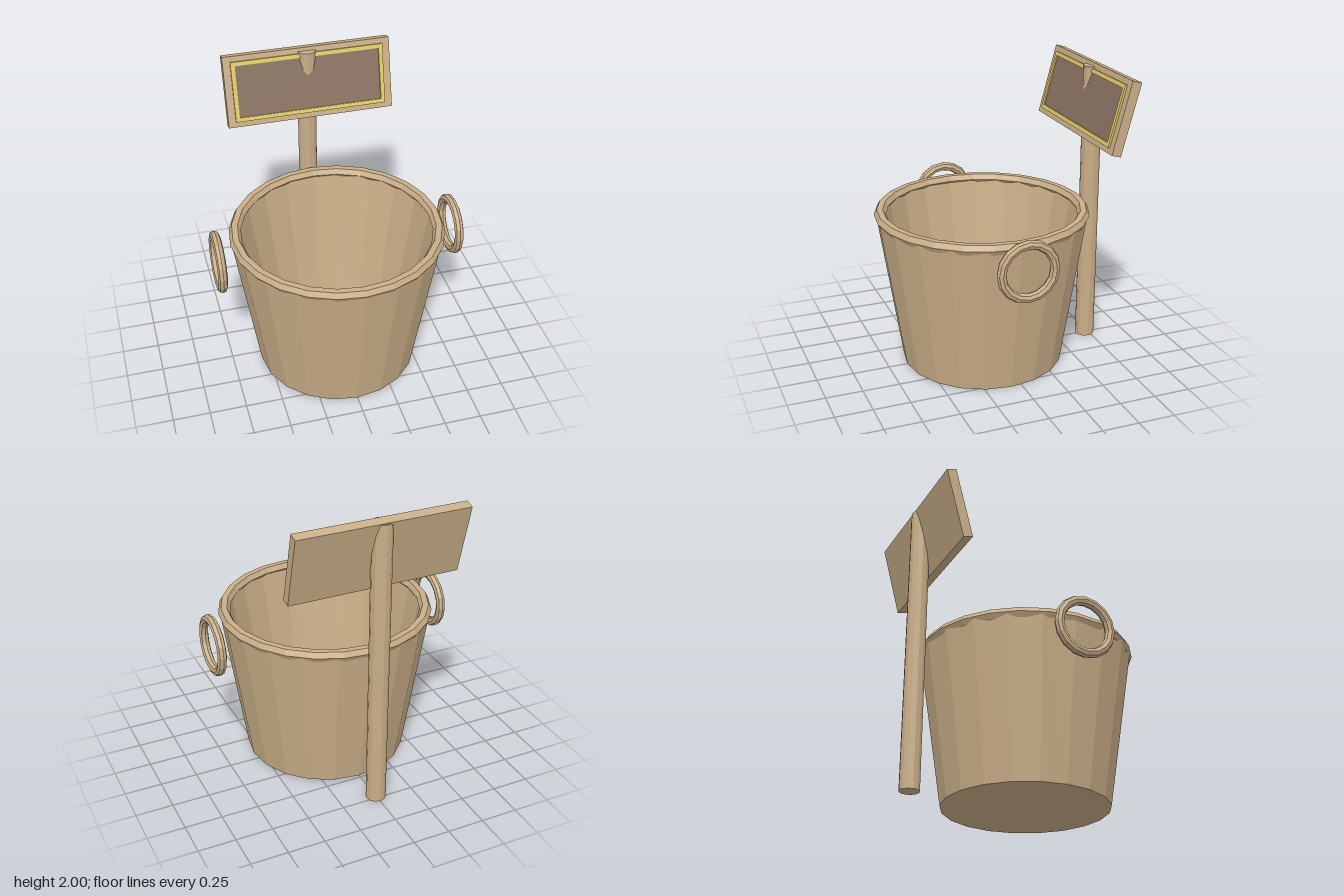
import * as THREE from 'three';

const flat = (name, color) => {
  const m = new THREE.MeshStandardMaterial({ color, flatShading: true });
  m.name = name;
  return m;
};

export function createModel() {
  const wood = flat('wood', 0xc9ae87);
  const panelBrown = flat('panelBrown', 0x8a7362);
  const yellow = flat('yellowTrim', 0xdfcc66);

  const model = new THREE.Group();
  model.name = 'bucketWithSign';

  const add = (parent, name, geometry, material, x = 0, y = 0, z = 0) => {
    const mesh = new THREE.Mesh(geometry, material);
    mesh.name = name;
    mesh.position.set(x, y, z);
    parent.add(mesh);
    return mesh;
  };

  // Tapered bucket: outer wall, lip, inner wall and floor in one profile
  const bucket = new THREE.Group();
  bucket.name = 'bucket';
  bucket.position.z = 0.07;
  model.add(bucket);
  const profile = [[0, 0], [0.55, 0], [0.71, 1.05], [0.65, 1.05], [0.48, 0.04], [0, 0.04]]
    .map(([r, y]) => new THREE.Vector2(r, y));
  add(bucket, 'bucketBody', new THREE.LatheGeometry(profile, 20), wood);

  // Rolled rim
  const rim = new THREE.TorusGeometry(0.68, 0.04, 6, 24).rotateX(Math.PI / 2);
  add(bucket, 'rim', rim, wood, 0, 1.05, 0);

  // Ring handles on both sides
  const ring = new THREE.TorusGeometry(0.178, 0.031, 8, 16).rotateY(Math.PI / 2);
  add(bucket, 'leftHandle', ring, wood, 0.807, 0.935, 0);
  add(bucket, 'rightHandle', ring, wood, -0.807, 0.935, 0);

  // Post behind the bucket; its top pokes through the sign
  add(model, 'post', new THREE.CylinderGeometry(0.066, 0.066, 1.975, 12), wood, 0, 0.9875, -0.724);

  // Tilted sign board
  const sign = new THREE.Group();
  sign.name = 'sign';
  sign.position.set(0, 1.755, -0.683);
  sign.rotation.x = -THREE.MathUtils.degToRad(15);
  model.add(sign);
  const thick = 0.066, face = thick / 2;
  add(sign, 'signBoard', new THREE.BoxGeometry(1.15, 0.487, thick), wood);
  add(sign, 'signPanel', new THREE.BoxGeometry(0.99, 0.36, 0.006), panelBrown, 0, 0, face + 0.003);

  // Raised border around the panel
  const w = 1.048, h = 0.412, bar = 0.028, depth = 0.014;
  const trim = new THREE.Shape([[-1, -1], [1, -1], [1, 1], [-1, 1]]
    .map(([x, y]) => new THREE.Vector2(x * w / 2, y * h / 2)));
  trim.holes.push(new THREE.Path([[-1, -1], [-1, 1], [1, 1], [1, -1]]
    .map(([x, y]) => new THREE.Vector2(x * (w / 2 - bar), y * (h / 2 - bar)))));
  add(sign, 'signBorder', new THREE.ExtrudeGeometry(trim, { depth, bevelEnabled: false }), yellow, 0, 0, face);

  return model;
}
